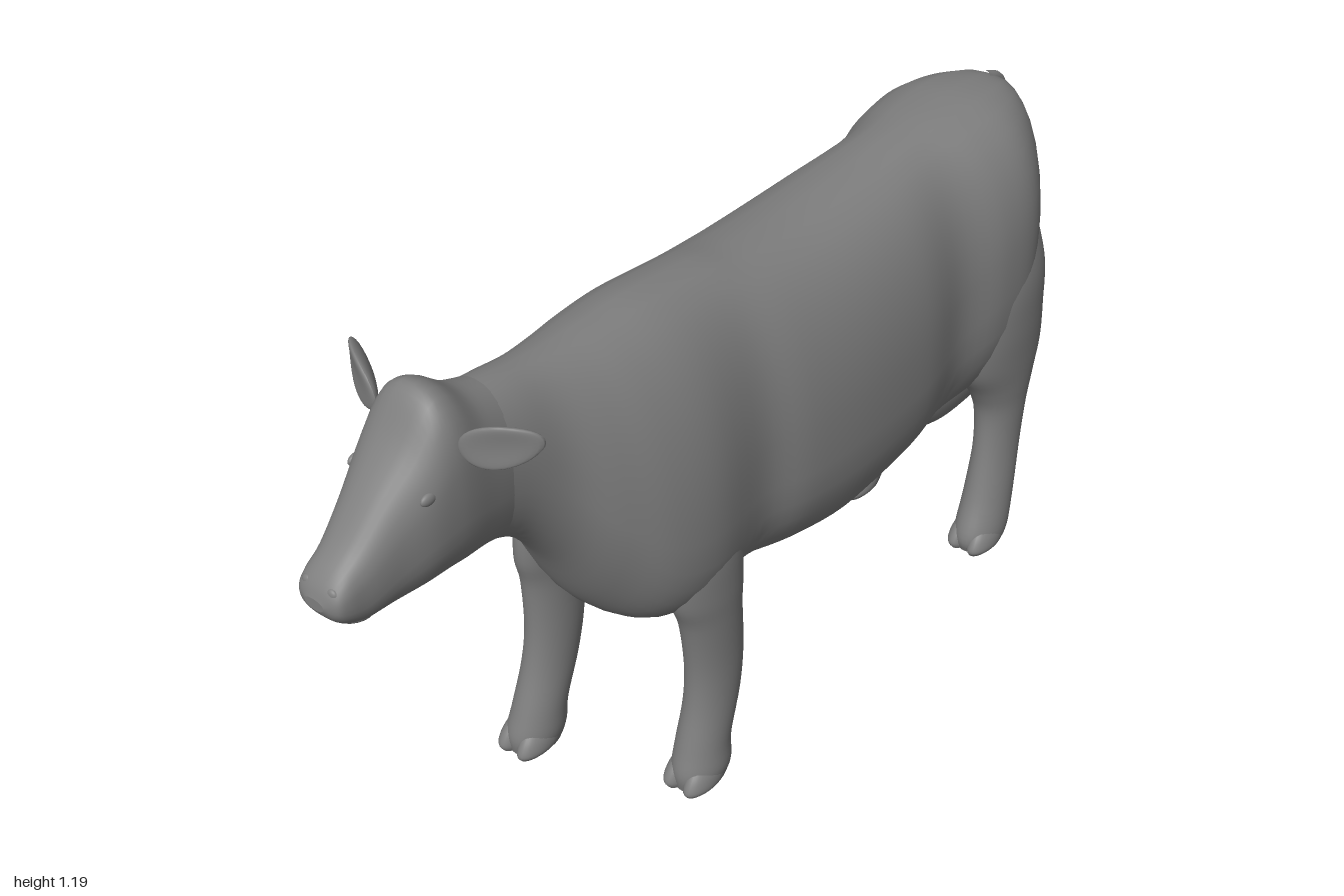
import * as THREE from 'three';

const material = new THREE.MeshStandardMaterial({ color: 0x7e7e7e });
const SIDES = 32;

// Catmull-Rom subdivision of rows of section parameters
function refine(rows, steps = 5) {
  const out = [];
  const at = i => rows[Math.min(Math.max(i, 0), rows.length - 1)];
  for (let i = 0; i < rows.length - 1; i++) {
    for (let s = 0; s < steps; s++) {
      const t = s / steps;
      out.push(rows[i].map((b, k) => {
        const a = at(i - 1)[k], c = at(i + 1)[k], d = at(i + 2)[k];
        return b + 0.5 * t * (c - a + t * (2 * a - 5 * b + 4 * c - d + t * (3 * (b - c) + d - a)));
      }));
    }
  }
  out.push(rows[rows.length - 1]);
  return out;
}

// Skin a closed surface over rings; point(row, angle) returns [x, y, z]
function loft(name, rows, point) {
  const rings = refine(rows).map(row =>
    Array.from({ length: SIDES }, (_, j) => point(row, (j / SIDES) * Math.PI * 2)));
  const pos = rings.flat(2);
  const index = [];
  for (let i = 0; i < rings.length - 1; i++) {
    for (let j = 0; j < SIDES; j++) {
      const a = i * SIDES + j, b = i * SIDES + (j + 1) % SIDES;
      index.push(a, b, a + SIDES, b, b + SIDES, a + SIDES);
    }
  }
  // end caps with their own vertices keep a crisp rim
  [rings[0], rings[rings.length - 1]].forEach((ring, end) => {
    const base = pos.length / 3;
    pos.push(...ring.flat());
    const mid = [0, 1, 2].map(k => ring.reduce((sum, p) => sum + p[k], 0) / SIDES);
    pos.push(...mid);
    for (let j = 0; j < SIDES; j++) {
      const a = base + j, b = base + (j + 1) % SIDES, c = base + SIDES;
      index.push(...(end ? [a, b, c] : [b, a, c]));
    }
  });
  const geo = new THREE.BufferGeometry();
  geo.setAttribute('position', new THREE.Float32BufferAttribute(pos, 3));
  geo.setIndex(index);
  geo.computeVertexNormals();
  const mesh = new THREE.Mesh(geo, material);
  mesh.name = name;
  return mesh;
}

const power = (v, p) => Math.sign(v) * Math.pow(Math.abs(v), p);

// Upright section along z:
// [z, top, widest height, bottom, half width, roundness above, roundness below]
const trunkPoint = ([z, top, mid, bot, w, above, below], a) => {
  const p = Math.sin(a) > 0 ? above : below;
  const s = power(Math.sin(a), p);
  return [w * power(Math.cos(a), p) - 0.007, mid + s * (s > 0 ? top - mid : mid - bot), z];
};

// Level section along y: [y, x, z, half width x, half depth z]
const legPoint = ([y, x, z, rx, rz], a) => [x + rx * Math.sin(a), y, z + rz * Math.cos(a)];

function blob(name, center, radii) {
  const mesh = new THREE.Mesh(new THREE.SphereGeometry(1, 24, 16), material);
  mesh.name = name;
  mesh.position.set(...center);
  mesh.scale.set(...radii);
  return mesh;
}

// Leg with its foot placed apart from the hip, plus two close toes
function makeLeg(name, rows, side, dx, dz, lift) {
  const leg = new THREE.Group();
  leg.name = name;
  const placed = rows.map(([y, x, z, rx, rz]) => {
    const f = 1 - Math.pow(y, 1.5);
    return [lift + y * (1 - lift), side * (x + dx * f), z + dz * f, rx, rz];
  });
  leg.add(loft('shank', placed, legPoint));
  const [y, x, z] = placed[0];
  for (const s of [-1, 1]) {
    leg.add(loft('hoof', [
      [y, x + s * 0.023, z + 0.022, 0.021, 0.048],
      [y + 0.015, x + s * 0.026, z + 0.02, 0.028, 0.057],
      [y + 0.04, x + s * 0.025, z + 0.01, 0.027, 0.055],
      [y + 0.065, x + s * 0.022, z, 0.02, 0.042],
    ], legPoint));
  }
  return leg;
}

function makeEar() {
  const geo = new THREE.SphereGeometry(1, 24, 16);
  const p = geo.attributes.position;
  // leaf outline, tip raised, gently cupped
  for (let i = 0; i < p.count; i++) {
    const x = p.getX(i), y = p.getY(i);
    p.setXYZ(i, x * 0.073, y * 0.046 * (0.9 - 0.12 * x) + 0.014 * x, p.getZ(i) * 0.014 + 0.012 * y * y);
  }
  geo.computeVertexNormals();
  const ear = new THREE.Mesh(geo, material);
  ear.name = 'ear';
  ear.position.set(0.158, 1.123, 0.712);
  ear.rotation.y = 0.5;
  return ear;
}

export function createModel() {
  const cow = new THREE.Group();
  cow.name = 'cow';

  // Torso and neck, rump to throat
  cow.add(loft('torso', [
    [-0.978, 0.99, 0.83, 0.66, 0.03, 0.9, 0.9],
    [-0.955, 1.045, 0.8, 0.54, 0.09, 0.85, 0.85],
    [-0.9, 1.077, 0.77, 0.47, 0.16, 0.8, 0.8],
    [-0.8, 1.09, 0.74, 0.44, 0.222, 0.78, 0.8],
    [-0.69, 1.088, 0.71, 0.41, 0.225, 0.8, 0.8],
    [-0.57, 1.08, 0.66, 0.385, 0.2, 0.85, 0.85],
    [-0.42, 1.067, 0.64, 0.372, 0.225, 0.87, 0.87],
    [-0.22, 1.06, 0.64, 0.355, 0.232, 0.87, 0.87],
    [-0.05, 1.07, 0.64, 0.385, 0.22, 0.87, 0.87],
    [0.07, 1.09, 0.65, 0.415, 0.195, 0.9, 0.82],
    [0.22, 1.105, 0.66, 0.42, 0.214, 0.97, 0.75],
    [0.33, 1.105, 0.68, 0.44, 0.2, 0.97, 0.85],
    [0.42, 1.105, 0.76, 0.53, 0.16, 0.97, 1.05],
    [0.5, 1.11, 0.86, 0.68, 0.115, 0.95, 1],
    [0.58, 1.12, 0.95, 0.775, 0.095, 0.95, 0.95],
    [0.67, 1.13, 0.98, 0.815, 0.085, 0.95, 0.9],
  ], trunkPoint));

  // Head, nape to muzzle
  cow.add(loft('head', [
    [0.58, 1.115, 0.96, 0.785, 0.085, 0.95, 0.95],
    [0.66, 1.14, 0.98, 0.812, 0.093, 0.9, 0.85],
    [0.72, 1.182, 1.0, 0.82, 0.1, 0.82, 0.8],
    [0.76, 1.178, 1.0, 0.825, 0.1, 0.8, 0.78],
    [0.81, 1.11, 0.98, 0.825, 0.093, 0.8, 0.78],
    [0.87, 1.045, 0.94, 0.825, 0.074, 0.8, 0.78],
    [0.93, 0.98, 0.9, 0.828, 0.061, 0.78, 0.78],
    [0.97, 0.947, 0.895, 0.845, 0.055, 0.78, 0.8],
    [0.99, 0.925, 0.895, 0.865, 0.046, 0.85, 0.85],
    [1.0, 0.905, 0.895, 0.882, 0.022, 0.95, 0.95],
  ], trunkPoint));
  cow.add(blob('lowerLip', [-0.007, 0.845, 0.925], [0.045, 0.02, 0.045]));

  // Ears, eyes and nostrils, mirrored
  for (const s of [-1, 1]) {
    const half = new THREE.Group();
    half.name = s > 0 ? 'leftFace' : 'rightFace';
    half.add(makeEar());
    half.add(blob('eye', [0.084, 1.035, 0.81], [0.008, 0.012, 0.018]));
    half.add(blob('nostril', [0.028, 0.918, 0.982], [0.013, 0.012, 0.008]));
    half.scale.x = s;
    half.position.x = -0.007;
    cow.add(half);
  }

  // Legs, foot to shoulder or hip; the upper rows sink into the torso
  const fore = [
    [0, 0.15, 0.225, 0.044, 0.062],
    [0.04, 0.15, 0.222, 0.054, 0.07],
    [0.1, 0.148, 0.213, 0.051, 0.064],
    [0.2, 0.148, 0.187, 0.048, 0.068],
    [0.3, 0.148, 0.18, 0.048, 0.072],
    [0.42, 0.15, 0.193, 0.05, 0.078],
    [0.5, 0.148, 0.205, 0.054, 0.095],
    [0.6, 0.14, 0.21, 0.057, 0.1],
    [0.72, 0.12, 0.21, 0.05, 0.08],
  ];
  const hind = [
    [0, 0.165, -0.735, 0.044, 0.064],
    [0.04, 0.165, -0.738, 0.053, 0.074],
    [0.13, 0.16, -0.765, 0.05, 0.068],
    [0.25, 0.155, -0.79, 0.045, 0.067],
    [0.35, 0.15, -0.8, 0.05, 0.073],
    [0.42, 0.145, -0.797, 0.06, 0.096],
    [0.5, 0.138, -0.785, 0.073, 0.135],
    [0.6, 0.134, -0.775, 0.083, 0.142],
    [0.72, 0.13, -0.775, 0.085, 0.135],
    [0.86, 0.11, -0.78, 0.075, 0.1],
  ];
  cow.add(makeLeg('leftFrontLeg', fore, 1, 0, 0, 0));
  cow.add(makeLeg('rightFrontLeg', fore, -1, 0.015, 0.15, 0.02));
  cow.add(makeLeg('leftHindLeg', hind, 1, 0.018, 0, 0.03));
  cow.add(makeLeg('rightHindLeg', hind, -1, 0.008, -0.015, 0.003));

  // Udder, filling the space between the thighs
  cow.add(loft('udder', [
    [-0.958, 0.66, 0.58, 0.5, 0.03, 0.9, 0.9],
    [-0.935, 0.72, 0.52, 0.39, 0.08, 0.9, 0.9],
    [-0.87, 0.72, 0.46, 0.322, 0.115, 0.85, 0.85],
    [-0.72, 0.7, 0.45, 0.307, 0.122, 0.85, 0.85],
    [-0.6, 0.62, 0.45, 0.335, 0.11, 0.85, 0.85],
    [-0.49, 0.5, 0.43, 0.378, 0.07, 0.9, 0.9],
  ], trunkPoint));

  // Tail with a tuft
  const path = new THREE.CatmullRomCurve3([
    [1.07, -0.9], [1.048, -0.95], [0.995, -0.979], [0.92, -0.986], [0.75, -0.978], [0.6, -0.968], [0.5, -0.965],
  ].map(([y, z]) => new THREE.Vector3(-0.007, y, z)));
  const tail = new THREE.Mesh(new THREE.TubeGeometry(path, 40, 0.013, 12), material);
  tail.name = 'tail';
  cow.add(tail, blob('tailTuft', [-0.007, 0.51, -0.965], [0.018, 0.052, 0.018]));

  return cow;
}
